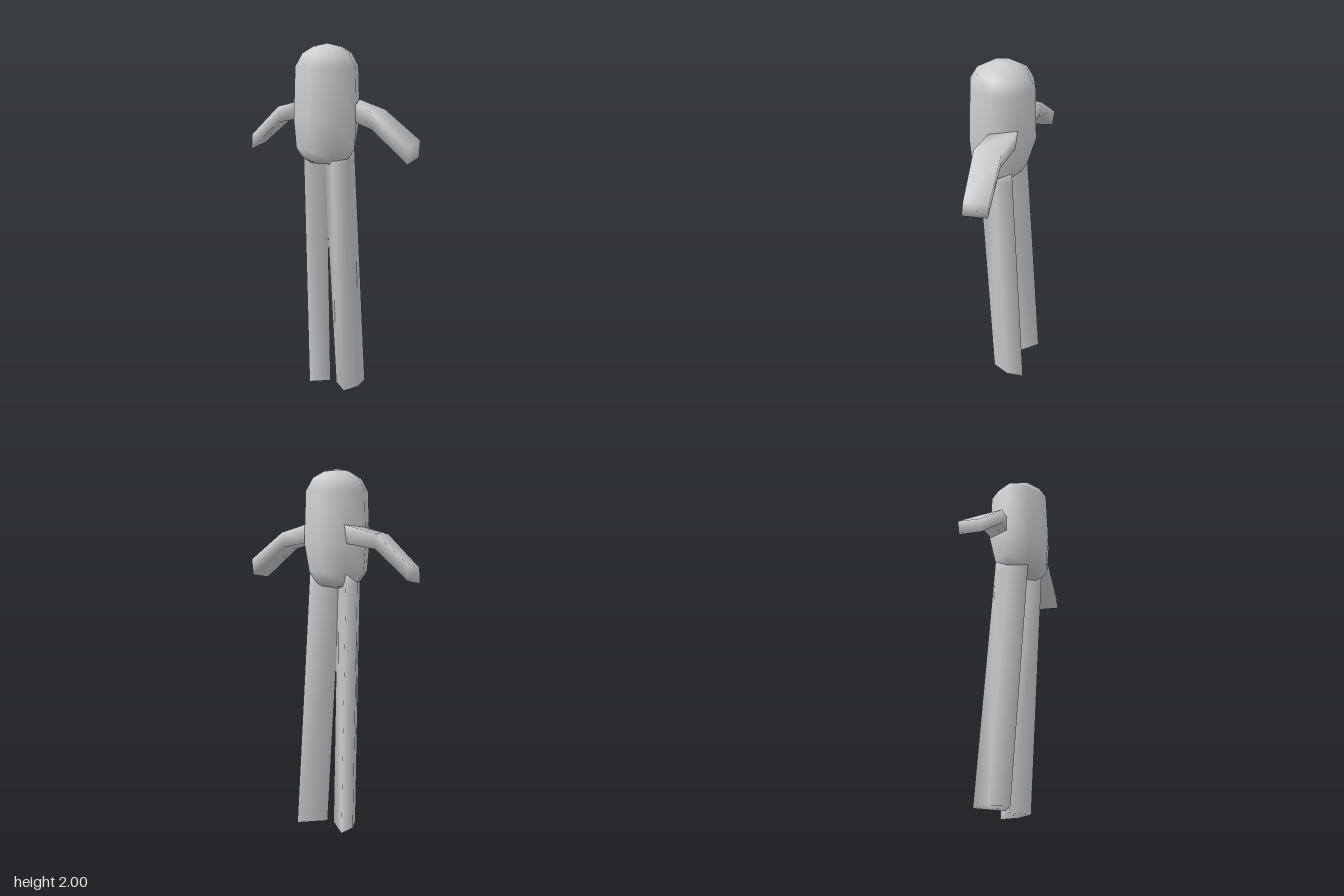
import * as THREE from 'three';

const grey = new THREE.MeshStandardMaterial({ color: 0xcccccc });
grey.name = 'plain grey';

// Closed skin over rings of [x, y, z] points; rings run counter-clockwise about the path.
function loft(rings, mirrored) {
  const n = rings[0].length;
  const last = (rings.length - 1) * n;
  const sign = mirrored ? -1 : 1;
  const positions = rings.flat().flatMap(([x, y, z]) => [x * sign, y, z]);
  const index = [];
  const face = (a, b, c) => index.push(...(mirrored ? [a, c, b] : [a, b, c]));
  for (let r = 0; r < last; r += n) {
    for (let j = 0; j < n; j++) {
      const k = (j + 1) % n;
      face(r + j, r + k, r + n + k);
      face(r + j, r + n + k, r + n + j);
    }
  }
  for (let j = 1; j < n - 1; j++) {
    face(0, j + 1, j);
    face(last, last + j, last + j + 1);
  }
  const geometry = new THREE.BufferGeometry();
  geometry.setAttribute('position', new THREE.Float32BufferAttribute(positions, 3));
  geometry.setIndex(index);
  geometry.computeVertexNormals();
  return geometry;
}

// Eight-sided capsule, its underside pulled forward at the back.
function bodyGeometry() {
  const profile = [[0, 1.345], [0.1, 1.36], [0.135, 1.385], [0.172, 1.44], [0.185, 1.6],
    [0.175, 1.88], [0.135, 1.95], [0.075, 1.985], [0, 2]];
  const geometry = new THREE.LatheGeometry(profile.map(([x, y]) => new THREE.Vector2(x, y)), 8);
  const p = geometry.attributes.position;
  for (let i = 0; i < p.count; i++) {
    const z = p.getZ(i);
    if (z < 0 && p.getY(i) < 1.5) p.setZ(i, z * 0.8);
    else if (z > 0) p.setZ(i, z * 1.03);
  }
  return geometry;
}

// Leg: a four-sided section leaning backward and outward toward the ground.
const legSection = [[0.02, -0.07], [0.12, 0.01], [0.163, -0.09], [0.15, -0.19]];
const legRings = [[0, 0, 0], [1.37, -0.03, 0.09], [1.45, -0.032, 0.095]].map(
  ([y, dx, dz]) => legSection.map(([x, z]) => [x + dx, y, z + dz]));

// Arm: root, elbow and tip, each front top, front bottom, back bottom, back top.
const armRings = [
  [[0.16, 1.69, 0.0], [0.16, 1.59, 0.0], [0.12, 1.6, -0.12], [0.12, 1.7, -0.13]],
  [[0.3, 1.65, 0.04], [0.3, 1.56, 0.04], [0.3, 1.57, -0.1], [0.3, 1.655, -0.107]],
  [[0.505, 1.475, 0.015], [0.505, 1.39, 0.025], [0.505, 1.41, -0.115], [0.505, 1.5, -0.125]],
];

export function createModel() {
  const model = new THREE.Group();
  model.name = 'figure';
  const add = (name, geometry) => {
    const mesh = new THREE.Mesh(geometry, grey);
    mesh.name = name;
    model.add(mesh);
  };
  add('body', bodyGeometry());
  for (const mirrored of [false, true]) {
    const side = mirrored ? 'right' : 'left';
    add(side + 'Leg', loft(legRings, mirrored));
    add(side + 'Arm', loft(armRings, mirrored));
  }
  return model;
}
